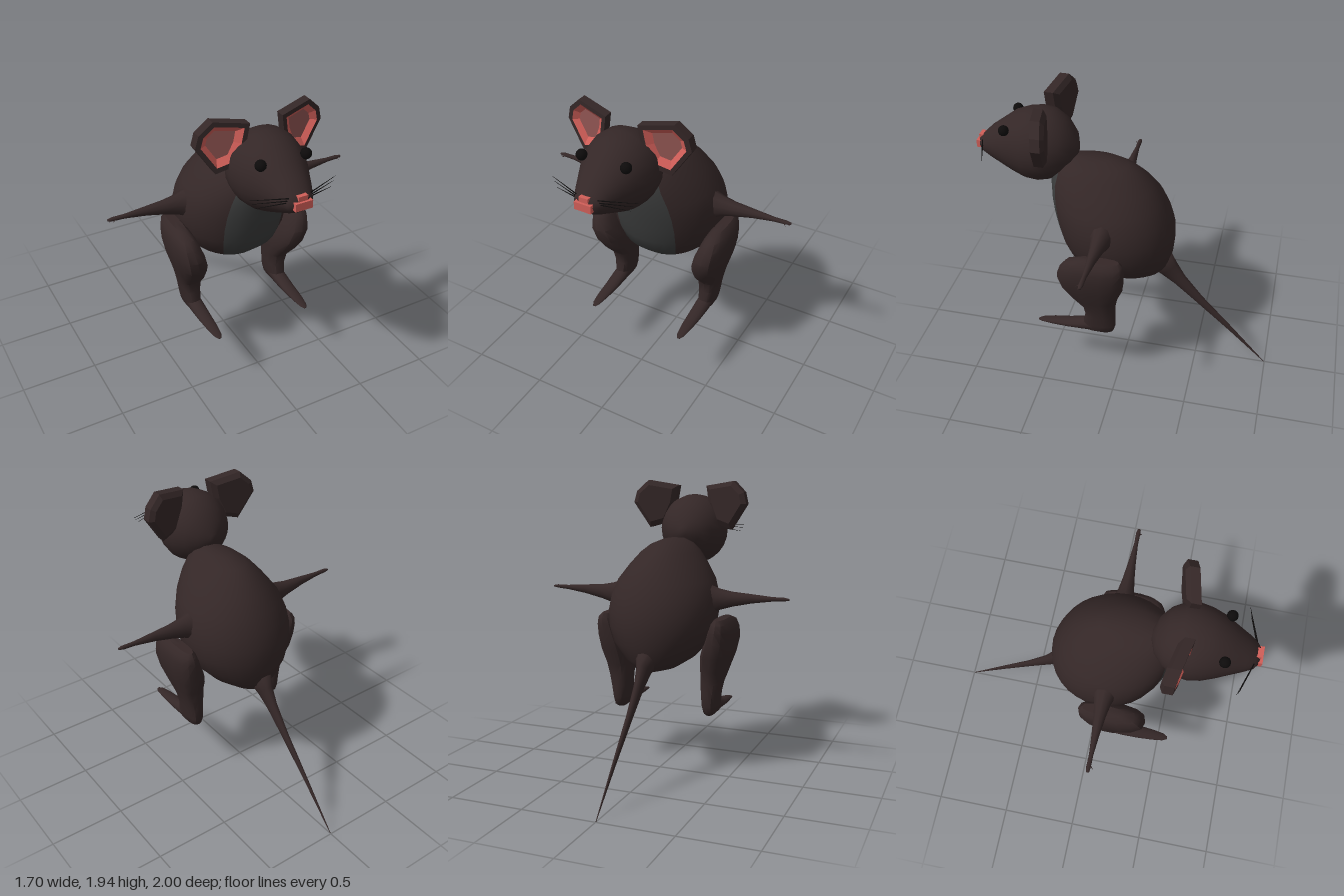
import * as THREE from 'three';
import { toCreasedNormals } from 'three/addons/utils/BufferGeometryUtils.js';

const mat = (name, color) => {
  const m = new THREE.MeshStandardMaterial({ color });
  m.name = name;
  return m;
};
const V = (x, y, z) => new THREE.Vector3(x, y, z);
const X = V(1, 0, 0), Y = V(0, 1, 0), Z = V(0, 0, 1);

// Closed cross-section round c; axes u x v point along the loft. power < 1 makes it boxier.
function ring(c, u, ru, v, rv, n, power = 1) {
  const soft = (t) => Math.sign(t) * Math.abs(t) ** power;
  return Array.from({ length: n }, (_, j) => {
    const a = (j / n) * Math.PI * 2;
    return c.clone().addScaledVector(u, ru * soft(Math.cos(a))).addScaledVector(v, rv * soft(Math.sin(a)));
  });
}

// Skin through rings with capped ends; side -1 mirrors in x; pick(i, j) gives the material slot.
function loft(rings, { side = 1, pick = () => 0, slots = 1 } = {}) {
  const n = rings[0].length, last = rings.length - 1;
  const middle = (r) => r.reduce((s, p) => s.add(p), V(0, 0, 0)).divideScalar(n);
  const points = [...rings.flat(), middle(rings[0]), middle(rings[last])];
  const lists = Array.from({ length: slots }, () => []);
  const tri = (slot, a, b, c) => lists[slot].push(...(side > 0 ? [a, b, c] : [a, c, b]));
  for (let j = 0; j < n; j++) {
    const k = (j + 1) % n;
    tri(pick(-1, j), n * rings.length, k, j);
    for (let i = 0; i < last; i++) {
      const a = i * n + j, b = i * n + k;
      tri(pick(i, j), a, b, b + n);
      tri(pick(i, j), a, b + n, a + n);
    }
    tri(pick(last, j), n * rings.length + 1, last * n + j, last * n + k);
  }
  const g = new THREE.BufferGeometry();
  g.setAttribute('position', new THREE.Float32BufferAttribute(points.flatMap((p) => [p.x * side, p.y, p.z]), 3));
  g.setIndex(lists.flat());
  let start = 0;
  lists.forEach((l, s) => {
    g.addGroup(start, l.length, s);
    start += l.length;
  });
  g.computeVertexNormals();
  return g;
}

export function createModel() {
  const fur = mat('dark brown fur', 0x342727);
  const grey = mat('grey belly', 0x3a3b3b);
  const pink = mat('pink skin', 0xd05e58);
  const dull = mat('dull pink inner ear', 0x905552);
  const black = mat('black', 0x0d0b0b);
  const model = new THREE.Group();
  const add = (parent, name, geometry, material) => {
    const m = new THREE.Mesh(geometry, material);
    m.name = name;
    parent.add(m);
    return m;
  };

  // Body: y, front z, back z, half width; the front segments are the belly
  const bodyRings = [
    [0.72, 0.02, -0.18, 0.06], [0.74, 0.15, -0.235, 0.14], [0.8, 0.29, -0.275, 0.235], [0.9, 0.4, -0.305, 0.325],
    [1.0, 0.44, -0.315, 0.36], [1.1, 0.465, -0.31, 0.37], [1.2, 0.485, -0.28, 0.36], [1.3, 0.5, -0.235, 0.325],
    [1.4, 0.505, -0.165, 0.255], [1.48, 0.48, -0.08, 0.19], [1.53, 0.44, 0.0, 0.13], [1.56, 0.37, 0.12, 0.06],
  ].map(([y, f, b, w]) => ring(V(0, y, (f + b) / 2), Z, (f - b) / 2, X, w, 32));
  add(model, 'body', loft(bodyRings, {
    slots: 2, pick: (i, j) => (i >= 0 && i < 9 && (j < 3 || j >= 29) ? 1 : 0),
  }), [fur, grey]);

  // Tail: y, z, half width, half thickness
  const along = V(0, -0.74, -0.67).normalize();
  const across = along.clone().cross(X);
  add(model, 'tail', loft([
    [0.84, -0.2, 0.09, 0.1], [0.75, -0.28, 0.045, 0.075], [0.66, -0.36, 0.03, 0.05],
    [0.51, -0.5, 0.02, 0.032], [0.27, -0.74, 0.011, 0.017], [0.005, -0.995, 0.002, 0.002],
  ].map(([y, z, w, t]) => ring(V(0, y, z), X, w, across, t, 12))), fur);

  // Head, set slightly to one side
  const head = new THREE.Group();
  head.name = 'head';
  head.position.x = -0.035;
  model.add(head);
  // z, top, bottom, half width
  const headRings = [
    [0.33, 1.63, 1.57, 0.03], [0.36, 1.71, 1.5, 0.115], [0.42, 1.79, 1.43, 0.18], [0.5, 1.84, 1.38, 0.225],
    [0.58, 1.85, 1.36, 0.235], [0.66, 1.84, 1.365, 0.22], [0.74, 1.81, 1.395, 0.19], [0.82, 1.75, 1.435, 0.152],
    [0.9, 1.69, 1.475, 0.115], [0.955, 1.635, 1.51, 0.085], [0.982, 1.61, 1.54, 0.05],
  ].map(([z, t, b, w]) => ring(V(0, (t + b) / 2, z), X, w, Y, (t - b) / 2, 24));
  add(head, 'skull', loft(headRings), fur);
  add(head, 'nose', new THREE.BoxGeometry(0.11, 0.05, 0.035), pink).position.set(0, 1.573, 0.982);
  add(head, 'noseBridge', new THREE.BoxGeometry(0.06, 0.035, 0.04), pink).position.set(0, 1.612, 0.966);

  // Ear outline, and rings as size, depth: back, rim, then the hollow
  const outline = [[0.105, 1.91], [0.125, 1.79], [0.185, 1.65], [0.3, 1.615], [0.415, 1.79], [0.395, 1.87], [0.315, 1.945]];
  const earRings = [[0.78, -0.085], [1, -0.06], [1, 0], [0.8, 0], [0.55, -0.03]].map(([s, d]) =>
    outline.map(([x, y]) => {
      const px = 0.26 + (x - 0.26) * s;
      return V(px, 1.795 + (y - 1.795) * s, 0.6 - 0.22 * px + d);
    }));

  // Thigh and shin: y, front z, back z, inner x, outer x
  const legRings = [
    [0.39, 0.17, 0.06, 0.3, 0.35], [0.41, 0.24, 0.03, 0.285, 0.37], [0.46, 0.24, 0.015, 0.275, 0.378],
    [0.54, 0.22, 0.015, 0.268, 0.39], [0.62, 0.23, 0.015, 0.262, 0.408], [0.7, 0.3, 0.0, 0.258, 0.43],
    [0.8, 0.365, -0.04, 0.26, 0.46], [0.9, 0.388, -0.055, 0.29, 0.478], [0.98, 0.36, -0.06, 0.32, 0.478],
    [1.03, 0.32, -0.055, 0.345, 0.465], [1.06, 0.24, -0.03, 0.37, 0.435],
  ].map(([y, f, b, i, o]) => ring(V((i + o) / 2, y, (f + b) / 2), Z, (f - b) / 2, X, (o - i) / 2, 14, 0.75));

  // Foot: z, top, bottom, half width
  const footRings = [
    [0.06, 0.47, 0.4, 0.035], [0.16, 0.5, 0.39, 0.048], [0.24, 0.475, 0.393, 0.05], [0.34, 0.447, 0.395, 0.046],
    [0.45, 0.432, 0.397, 0.038], [0.53, 0.415, 0.4, 0.026], [0.56, 0.406, 0.4, 0.01],
  ].map(([z, t, b, w]) => ring(V(0.325, (t + b) / 2, z), X, w, Y, (t - b) / 2, 12));

  // Arm: x, centre y, half height, half depth
  const armRings = [
    [0.27, 1.18, 0.12, 0.1], [0.34, 1.18, 0.092, 0.073], [0.39, 1.185, 0.07, 0.056], [0.47, 1.19, 0.05, 0.042],
    [0.6, 1.2, 0.031, 0.026], [0.74, 1.205, 0.015, 0.014], [0.82, 1.208, 0.012, 0.015], [0.85, 1.208, 0.006, 0.009],
  ].map(([x, y, h, d]) => ring(V(x, y, 0.1), Y, h, Z, d, 10));

  for (const side of [1, -1]) {
    const label = side > 0 ? 'left' : 'right';
    const ear = loft(earRings, { side, slots: 3, pick: (i) => (i < 3 ? 0 : i === 3 ? 1 : 2) });
    add(head, label + 'Ear', toCreasedNormals(ear, 0.1), [fur, pink, dull]);
    add(head, label + 'Eye', new THREE.SphereGeometry(0.034, 16, 12), black).position.set(side * 0.147, 1.75, 0.77);

    // Whiskers fan out backwards from the snout
    [[1.615, 1.622], [1.6, 1.6], [1.59, 1.572]].forEach(([y0, y1], k) => {
      const from = V(side * 0.07, y0, 0.95);
      const to = V(side * (0.285 - k * 0.02), y1, 0.875 + k * 0.01);
      const dir = to.clone().sub(from);
      const w = add(head, label + 'Whisker', new THREE.CylinderGeometry(0.001, 0.004, dir.length(), 5), black);
      w.position.copy(from).add(to).multiplyScalar(0.5);
      w.quaternion.setFromUnitVectors(Y, dir.normalize());
    });

    add(model, label + 'Leg', toCreasedNormals(loft(legRings, { side }), 0.7), fur);
    add(model, label + 'Foot', loft(footRings, { side }), fur);
    add(model, label + 'Arm', loft(armRings, { side }), fur);

    // Small fingers at the tip of the arm
    for (const [x, z, turn] of [[0.815, 0.118, 0.9], [0.835, 0.108, 0.4]]) {
      const f = add(model, label + 'Finger', new THREE.ConeGeometry(0.006, 0.035, 6), fur);
      f.position.set(side * x, 1.203, z);
      f.quaternion.setFromUnitVectors(Y, V(side * Math.cos(turn), -0.1, Math.sin(turn)).normalize());
    }
  }
  return model;
}
